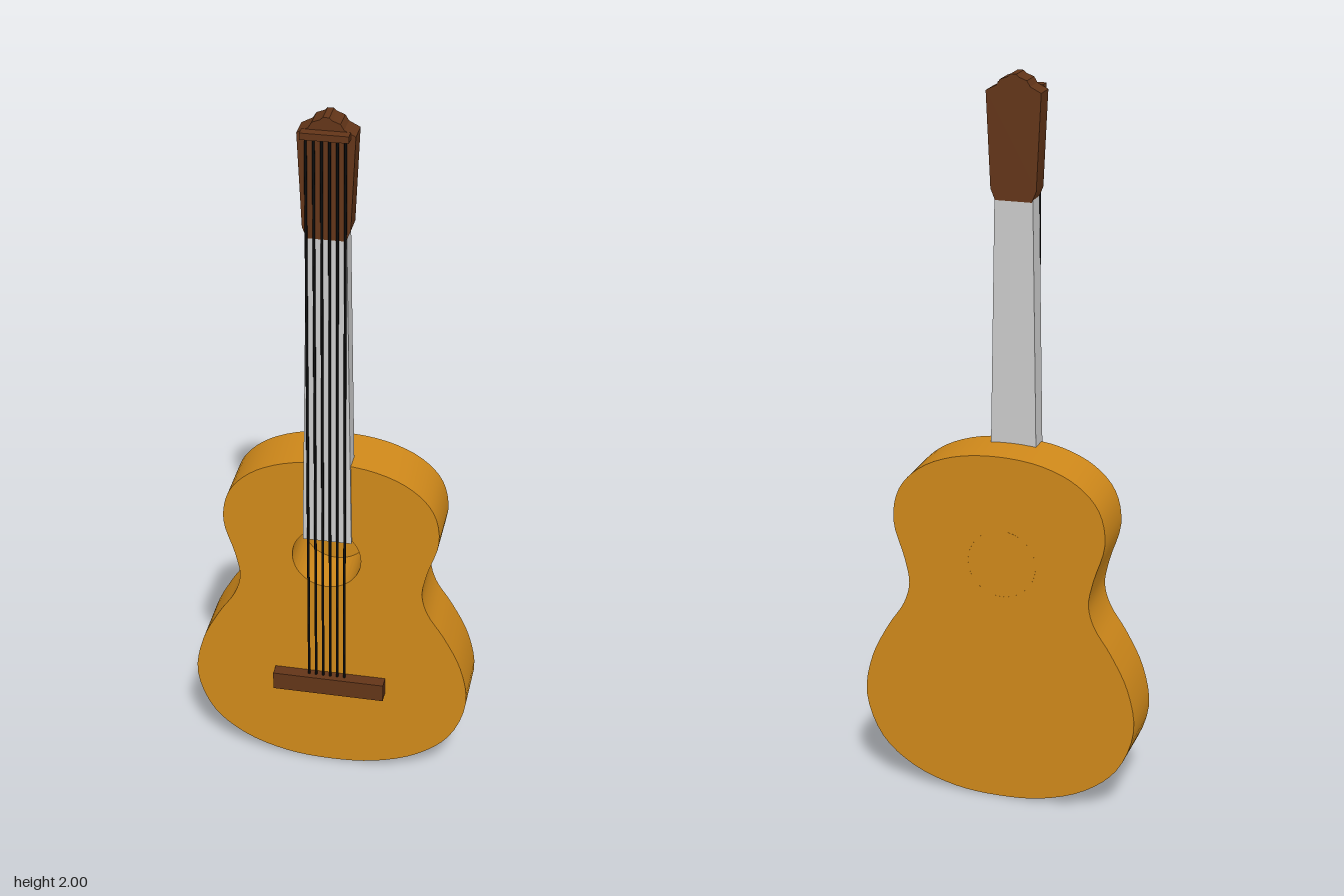
import * as THREE from 'three';
import { toCreasedNormals } from 'three/addons/utils/BufferGeometryUtils.js';

const wood = new THREE.MeshStandardMaterial({ color: 0xd0891a });
const darkWood = new THREE.MeshStandardMaterial({ color: 0x633518 });
const grey = new THREE.MeshStandardMaterial({ color: 0xcccccc });
const black = new THREE.MeshStandardMaterial({ color: 0x0c0c0c });

const AXIS = -0.008; // neck, strings and sound hole sit slightly off centre

export function createModel() {
  const guitar = new THREE.Group();
  guitar.name = 'guitar';

  const add = (name, geometry, material, x = 0, y = 0, z = 0) => {
    const mesh = new THREE.Mesh(geometry, material);
    mesh.name = name;
    mesh.position.set(x, y, z);
    guitar.add(mesh);
    return mesh;
  };
  // Extrude a front-view shape between two depths
  const slab = (shape, back, front) => {
    const g = new THREE.ExtrudeGeometry(shape, { depth: front - back, bevelEnabled: false, curveSegments: 48 });
    return toCreasedNormals(g.translate(0, 0, back), 0.5);
  };
  const polygon = (points) => new THREE.Shape(points.map(([x, y]) => new THREE.Vector2(x, y)));

  // Body: half outline, mirrored and smoothed, with the sound hole cut out
  const half = [
    [0, 0], [0.127, 0.011], [0.249, 0.055], [0.339, 0.132], [0.385, 0.256], [0.366, 0.376],
    [0.317, 0.476], [0.27, 0.55], [0.254, 0.61], [0.266, 0.68], [0.297, 0.79],
    [0.28, 0.882], [0.222, 0.947], [0.127, 0.99], [0, 1.005],
  ];
  const loop = [...half, ...half.slice(1, -1).reverse().map(([x, y]) => [-x, y])];
  const outline = new THREE.CatmullRomCurve3(loop.map(([x, y]) => new THREE.Vector3(x, y, 0)), true);
  const body = polygon(outline.getPoints(112).slice(0, -1).map((p) => [p.x, p.y]));
  const hole = new THREE.Path();
  hole.absarc(AXIS - 0.003, 0.7, 0.095, 0, Math.PI * 2, true);
  body.holes.push(hole);
  add('body', slab(body, -0.1, 0.063), wood);

  // Back of the body closing the sound hole
  const floor = new THREE.CylinderGeometry(0.095, 0.095, 0.02, 48).rotateX(Math.PI / 2);
  add('soundHoleFloor', floor, wood, AXIS - 0.003, 0.7, -0.09);

  // Tapered neck
  const neck = polygon([[-0.067, 0.76], [0.067, 0.76], [0.052, 1.68], [-0.052, 1.68]]);
  add('neck', slab(neck, 0.012, 0.07), grey, AXIS);

  // Headstock with a stepped crown
  const headHalf = [[0.05, 1.67], [0.062, 1.7], [0.074, 1.955], [0.045, 1.97], [0.036, 1.985], [0.015, 1.993], [0.008, 2]];
  const head = polygon([...headHalf, ...[...headHalf].reverse().map(([x, y]) => [-x, y])]);
  add('headstock', slab(head, 0.009, 0.071), darkWood, AXIS);

  // Bars holding the strings
  add('bridge', new THREE.BoxGeometry(0.313, 0.053, 0.036), darkWood, -0.001, 0.285, 0.08);
  add('nut', new THREE.BoxGeometry(0.123, 0.018, 0.028), darkWood, AXIS, 1.957, 0.083);

  // Six strings
  for (let i = 0; i < 6; i++) {
    const string = new THREE.CylinderGeometry(0.0035, 0.0035, 1.66, 8);
    add('string', string, black, AXIS + (i - 2.5) * 0.02, 1.125, 0.079);
  }
  return guitar;
}
